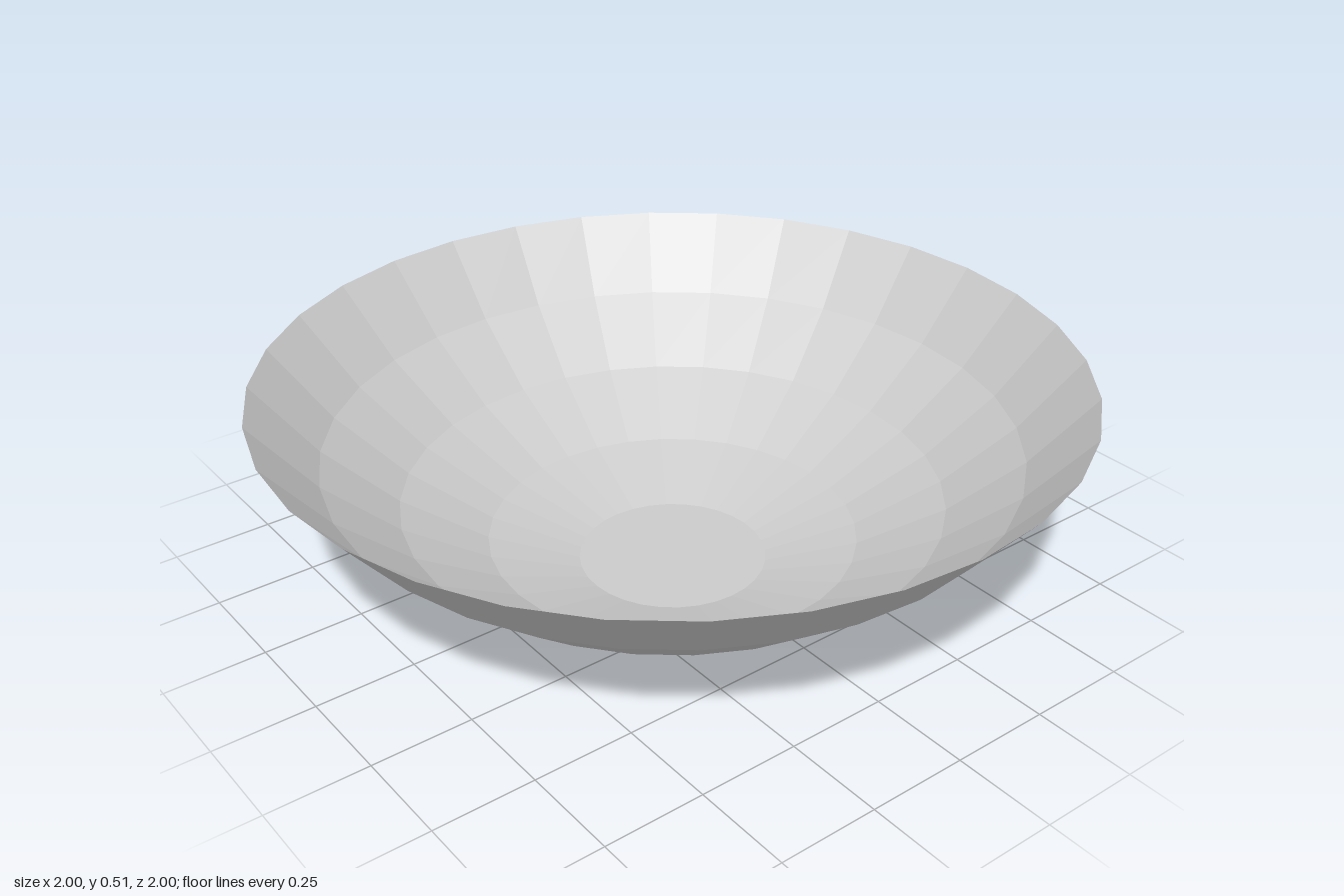
import * as THREE from 'three';

export function createModel() {
  const group = new THREE.Group();
  group.name = 'bowl';

  // Thin faceted shell: flat base, then four widening bands up to the rim
  const profile = [
    [0, 0], [0.235, 0.003], [0.46, 0.07], [0.67, 0.185], [0.848, 0.332], [1, 0.513],
  ].map(([r, y]) => new THREE.Vector2(r, y));
  profile[1].y = 0;

  const material = new THREE.MeshStandardMaterial({
    color: 0xcccccc,
    flatShading: true,
    side: THREE.DoubleSide,
  });
  const shell = new THREE.Mesh(new THREE.LatheGeometry(profile, 32), material);
  shell.name = 'bowlShell';
  group.add(shell);

  return group;
}
